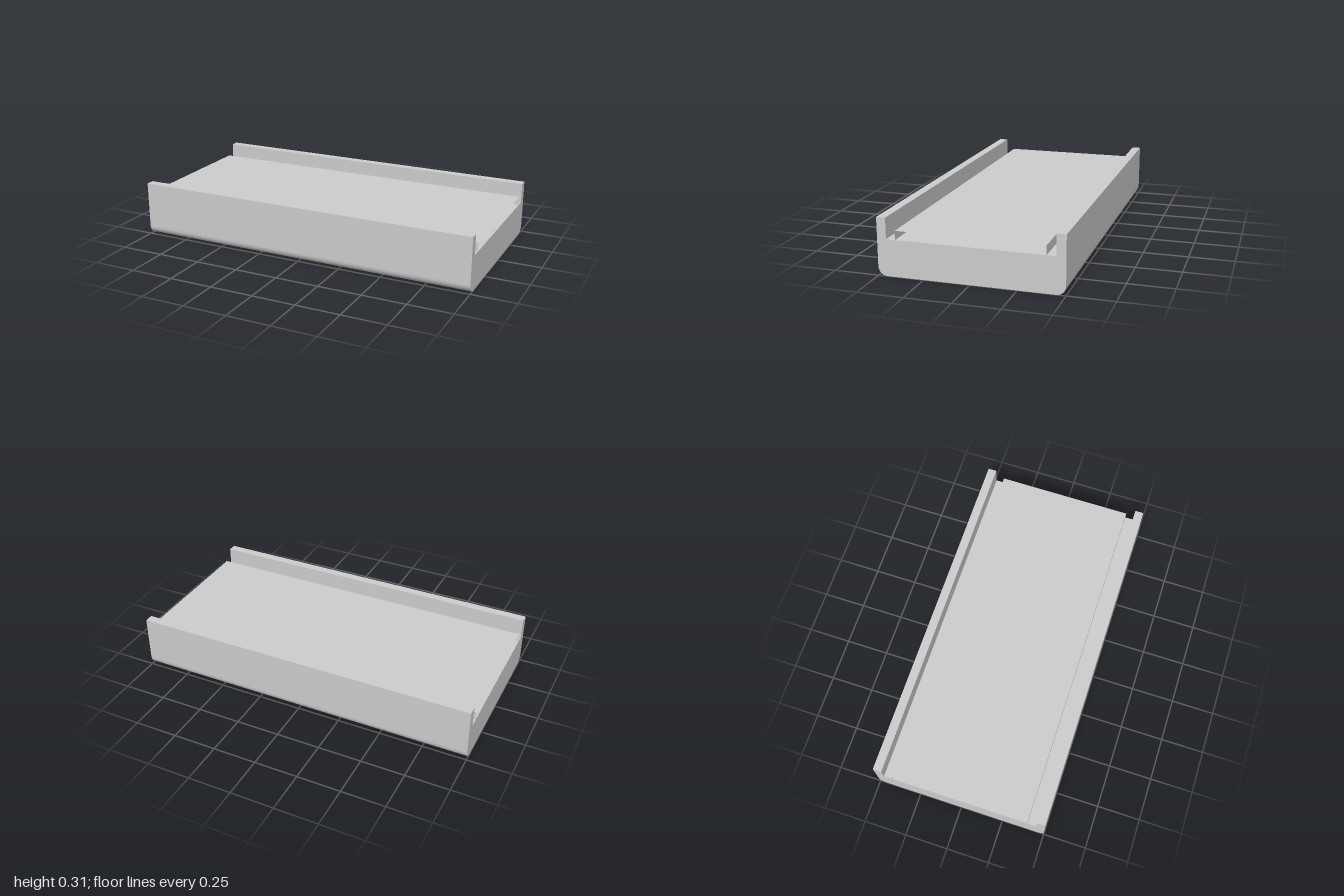
import * as THREE from 'three';
import { toCreasedNormals } from 'three/addons/utils/BufferGeometryUtils.js';

const LENGTH = 2, HALF_WIDTH = 0.5, RAIL_TOP = 0.315, FLOOR = 0.2;
const RAIL = 0.05, RADIUS = 0.05, DECK_HALF = 0.4, DECK_TOP = 0.25;

export function createModel() {
  const model = new THREE.Group();
  const solid = new THREE.MeshStandardMaterial({ color: 0xcccccc });
  const sheet = new THREE.MeshStandardMaterial({ color: 0xcccccc, side: THREE.DoubleSide });

  // Tray: U-shaped section with rounded lower corners, swept along x
  const w = HALF_WIDTH, r = RADIUS, inner = HALF_WIDTH - RAIL;
  const section = new THREE.Shape();
  section.moveTo(-w + r, 0);
  section.lineTo(w - r, 0);
  section.absarc(w - r, r, r, -Math.PI / 2, 0, false);
  section.lineTo(w, RAIL_TOP);
  section.lineTo(inner, RAIL_TOP);
  section.lineTo(inner, FLOOR);
  section.lineTo(-inner, FLOOR);
  section.lineTo(-inner, RAIL_TOP);
  section.lineTo(-w, RAIL_TOP);
  section.lineTo(-w, r);
  section.absarc(-w + r, r, r, Math.PI, Math.PI * 1.5, false);
  const trayGeometry = new THREE.ExtrudeGeometry(section, {
    depth: LENGTH, bevelEnabled: false, curveSegments: 12,
  });
  trayGeometry.translate(0, 0, -LENGTH / 2).rotateY(Math.PI / 2);
  const tray = new THREE.Mesh(toCreasedNormals(trayGeometry, 0.5), solid);
  tray.name = 'trayWithRails';
  model.add(tray);

  // Deck: thin raised cover between the rails, open at both ends
  const deck = new THREE.Group();
  deck.name = 'deck';
  const top = new THREE.Mesh(
    new THREE.PlaneGeometry(LENGTH, DECK_HALF * 2).rotateX(-Math.PI / 2), sheet);
  top.position.y = DECK_TOP;
  top.name = 'deckTop';
  deck.add(top);
  for (const side of [1, -1]) {
    const wall = new THREE.Mesh(new THREE.PlaneGeometry(LENGTH, DECK_TOP - FLOOR), sheet);
    wall.position.set(0, (DECK_TOP + FLOOR) / 2, side * DECK_HALF);
    if (side < 0) wall.rotation.y = Math.PI;
    wall.name = side > 0 ? 'deckFrontWall' : 'deckBackWall';
    deck.add(wall);
  }
  model.add(deck);

  return model;
}
